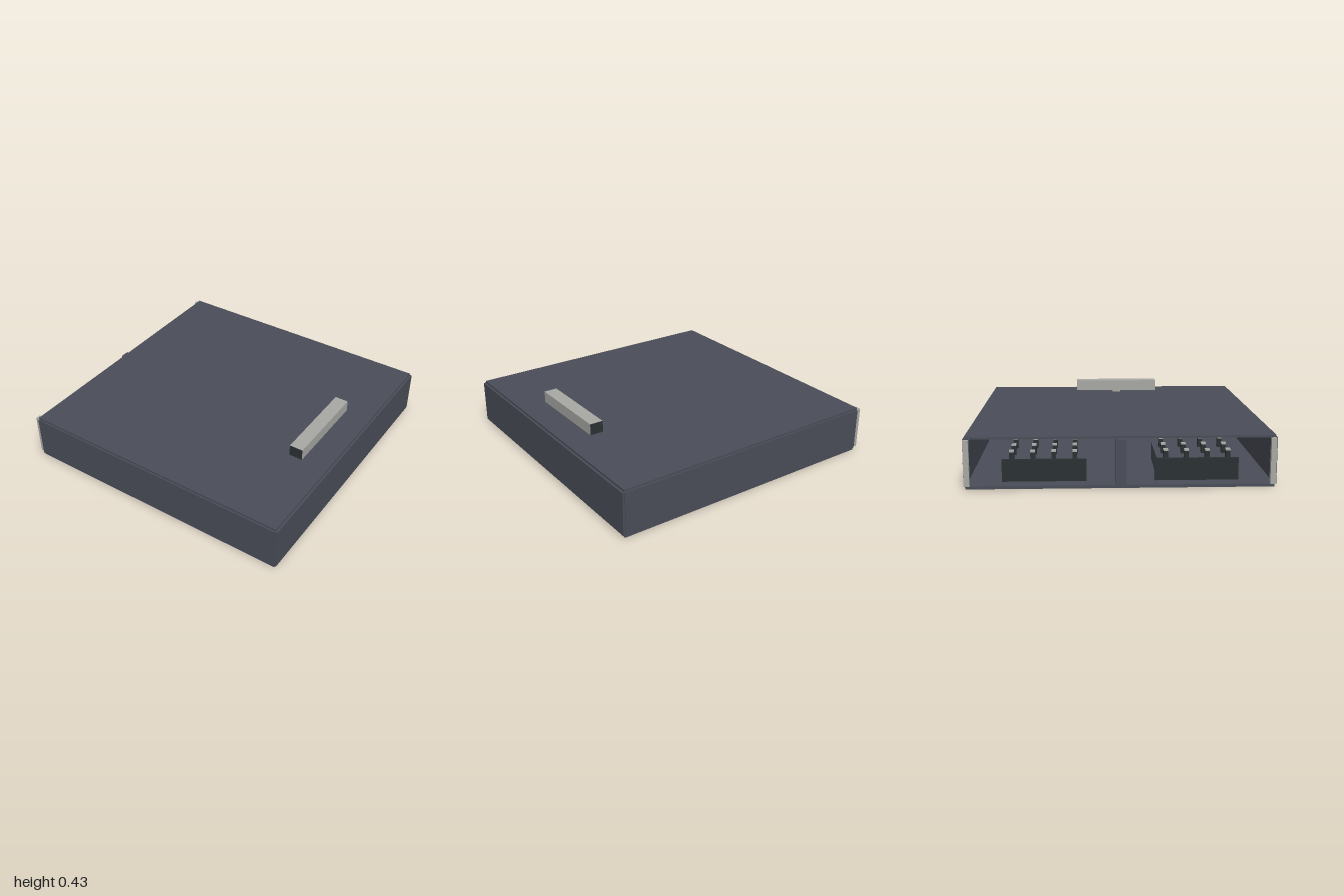
import * as THREE from 'three';

export function createModel() {
  const model = new THREE.Group();
  const mat = (name, color) => {
    const m = new THREE.MeshStandardMaterial({ color });
    m.name = name;
    return m;
  };
  const slate = mat('slate', 0x4a4e58);
  const charcoal = mat('charcoal', 0x2b3234);
  const grey = mat('light grey', 0xa8a8a5);

  // Box given by its extents along each axis
  const box = (name, [x0, x1], [y0, y1], [z0, z1], material, parent = model) => {
    const mesh = new THREE.Mesh(new THREE.BoxGeometry(x1 - x0, y1 - y0, z1 - z0), material);
    mesh.position.set((x0 + x1) / 2, (y0 + y1) / 2, (z0 + z1) / 2);
    mesh.name = name;
    parent.add(mesh);
    return mesh;
  };

  // Hollow case, open towards -x
  const slab = [slate, slate, slate, slate, slate, slate];
  box('floorPlate', [-0.97, 0.985], [0, 0.02], [-0.98, 0.975], slab);
  box('roofPlate', [-0.97, 0.985], [0.32, 0.335], [-0.98, 0.975], slab);
  box('frontWall', [-0.97, 0.985], [0.02, 0.32], [0.97, 0.985], slate);
  box('backWall', [-0.97, 0.985], [0.02, 0.32], [-0.99, -0.975], slate);
  box('endWall', [0.985, 1], [0.02, 0.32], [-0.985, 0.98], slate);

  // Posts framing the opening
  box('backPost', [-1, -0.97], [0.025, 0.32], [-0.985, -0.95], grey);
  box('frontPost', [-1, -0.97], [0.025, 0.32], [0.94, 0.975], grey);
  box('middlePost', [-1, -0.92], [0.01, 0.318], [-0.035, 0.03], slate);

  // Handle bar with dark ends, on a short stem
  box('handleBar', [0.71, 0.805], [0.35, 0.43], [-0.29, 0.35],
    [grey, grey, grey, grey, charcoal, charcoal]);
  box('handleStem', [0.73, 0.785], [0.335, 0.35], [0, 0.065], grey);

  // Two trays with rows of upright pegs inside the case
  for (const side of [-1, 1]) {
    const tray = new THREE.Group();
    tray.name = side < 0 ? 'backTray' : 'frontTray';
    model.add(tray);
    const zs = (a, b) => (side < 0 ? [-b, -a] : [a, b]);
    box('trayFace', [-0.87, -0.85], [0.02, 0.165], zs(0.22, 0.76), charcoal, tray);
    box('trayBody', [-0.85, -0.3], [0.02, 0.14], zs(0.24, 0.74), slate, tray);
    for (let row = 0; row < 3; row++) {
      for (let i = 0; i < 4; i++) {
        const z = 0.28 + i * 0.135;
        const x = -0.82 + row * 0.18;
        box('peg', [x, x + 0.04], [0.14, 0.2], zs(z, z + 0.03), charcoal, tray);
        box('pegCap', [x, x + 0.04], [0.2, 0.21], zs(z, z + 0.03), grey, tray);
      }
    }
  }
  return model;
}
